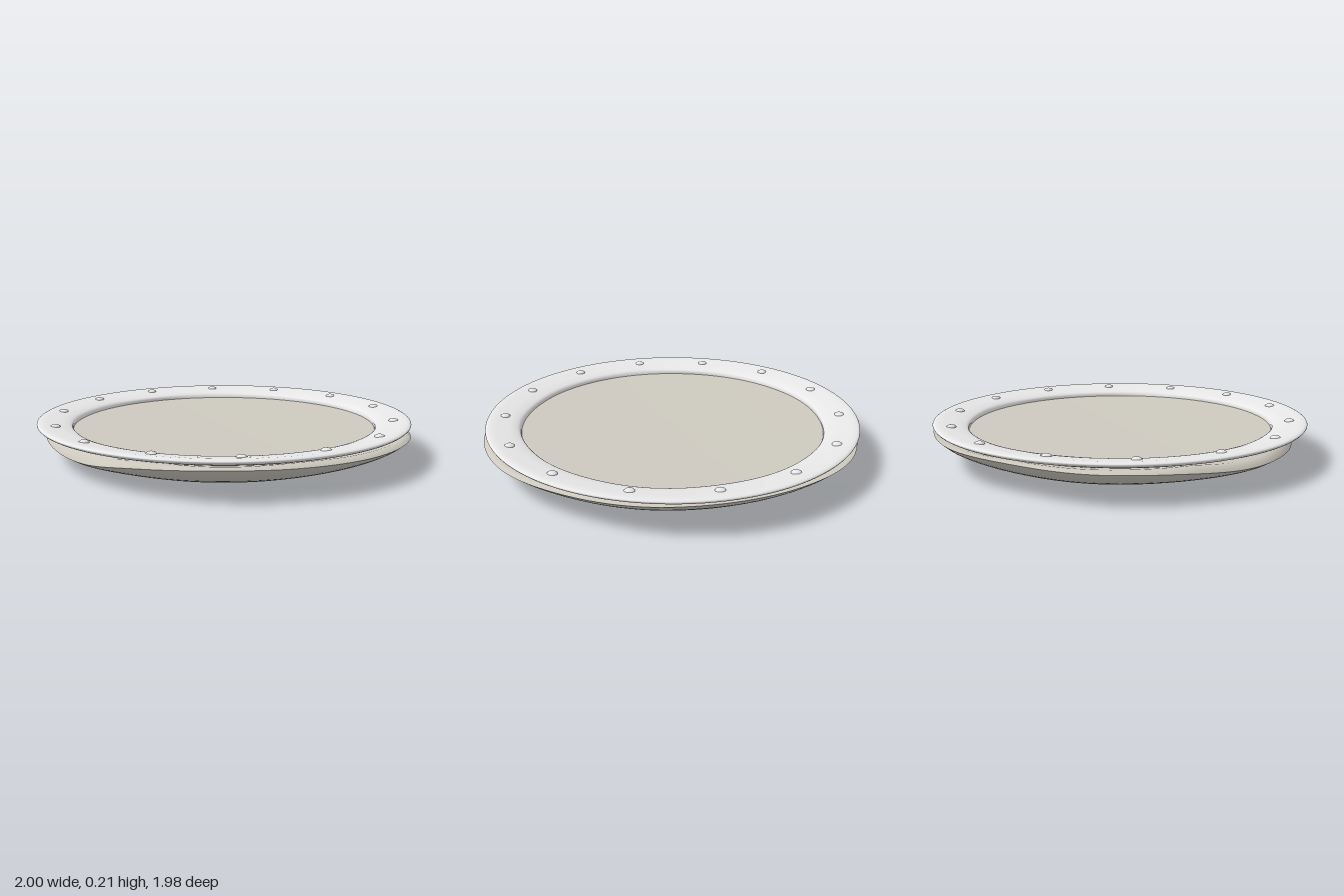
import * as THREE from 'three';

const SEG = 128;

// Smooth ring surface: profile(angle) gives [radius, y] points, swept round the y axis.
// Points run outward along the underside and inward along the top.
function sweep(profile) {
  const pos = [], index = [];
  let rows = 0;
  for (let i = 0; i < SEG; i++) {
    const a = (i / SEG) * Math.PI * 2;
    const pts = profile(a);
    rows = pts.length;
    for (const [r, y] of pts) pos.push(r * Math.cos(a), y, r * Math.sin(a));
  }
  for (let i = 0; i < SEG; i++) {
    const n = (i + 1) % SEG;
    for (let j = 0; j < rows - 1; j++) {
      const a = i * rows + j, c = n * rows + j;
      index.push(a, a + 1, c, a + 1, c + 1, c);
    }
  }
  const g = new THREE.BufferGeometry();
  g.setAttribute('position', new THREE.Float32BufferAttribute(pos, 3));
  g.setIndex(index);
  g.computeVertexNormals();
  return g;
}

// Smooth looped interpolation of values spaced evenly round the circle
function around(values, a) {
  const n = values.length, t = (a / (Math.PI * 2)) * n;
  const i = Math.floor(t), f = t - i;
  const [p, q, r, s] = [-1, 0, 1, 2].map((k) => values[(i + k + n) % n]);
  return q + 0.5 * f * (r - p + f * (2 * p - 5 * q + 4 * r - s + f * (3 * (q - r) + s - p)));
}

// Rounds a coarse profile into a finer one
function smooth(points, count) {
  const curve = new THREE.CatmullRomCurve3(points.map(([r, y]) => new THREE.Vector3(r, y, 0)));
  return curve.getPoints(count).map((p) => [Math.max(p.x, 0), p.y]);
}

// Uneven hull edge, from +x towards +z
const edgeRadius = [1.0, 0.975, 0.995, 0.95, 0.915, 0.925, 0.96, 0.985,
  0.998, 0.975, 1.0, 0.985, 0.965, 0.96, 0.965, 1.0];
const edgeHeight = [0.15, 0.15, 0.16, 0.135, 0.095, 0.1, 0.115, 0.145,
  0.155, 0.16, 0.165, 0.17, 0.165, 0.155, 0.15, 0.15];

export function createModel() {
  const model = new THREE.Group();
  const material = (name, color) => new THREE.MeshStandardMaterial({ name, color, side: THREE.DoubleSide });
  const stone = material('warm grey', 0xcdc9bf);
  const metal = material('light grey', 0xe8e8e8);
  const add = (name, geometry, mat) => {
    const mesh = new THREE.Mesh(geometry, mat);
    mesh.name = name;
    model.add(mesh);
    return mesh;
  };

  // Shallow bowl with a flat base
  add('bowl', sweep((a) => {
    const R = around(edgeRadius, a), E = around(edgeHeight, a);
    return smooth([[0, 0], [0.3, 0], [0.58, 0.003], [0.7, 0.024],
      [0.7 + (R - 0.7) * 0.5, 0.024 + (E - 0.024) * 0.36],
      [0.7 + (R - 0.7) * 0.85, 0.024 + (E - 0.024) * 0.74], [R, E]], 24);
  }), stone);

  // Sloping lip from the bowl's edge to beneath the rim
  add('bowlLip', sweep((a) => {
    const R = around(edgeRadius, a), E = around(edgeHeight, a);
    const top = Math.max(0.138, Math.min(E + 0.03, 0.168));
    return [[R, E], [R - 0.012, E + (top - E) * 0.6], [R - 0.035, top], [0.85, 0.15]];
  }), stone);

  // Slightly dished inner face
  add('innerFace', sweep(() => [[0.85, 0.153], [0.8, 0.153], [0.6, 0.151], [0.4, 0.15],
    [0.2, 0.149], [0, 0.149]]), stone);

  // Rounded rim sloping down towards the inner face
  add('rim', sweep((a) => {
    const w = 0.003 * Math.sin(a * 5 + 1) + 0.002 * Math.sin(a * 9);
    return smooth([[0.802, 0.143], [0.87, 0.15], [0.94, 0.17], [0.98, 0.184], [0.989, 0.196],
      [0.975, 0.204], [0.9, 0.197], [0.84, 0.186], [0.808 + w, 0.172], [0.802, 0.143]], 36);
  }), metal);

  // Fourteen domed rivets
  const dome = new THREE.SphereGeometry(0.026, 16, 8, 0, Math.PI * 2, 0, Math.PI / 2);
  for (let i = 0; i < 14; i++) {
    const a = (i / 14) * Math.PI * 2;
    const rivet = add('rivet', dome, metal);
    rivet.scale.y = 0.55;
    rivet.position.set(Math.sin(a) * 0.9, 0.195, -Math.cos(a) * 0.9);
  }
  return model;
}
